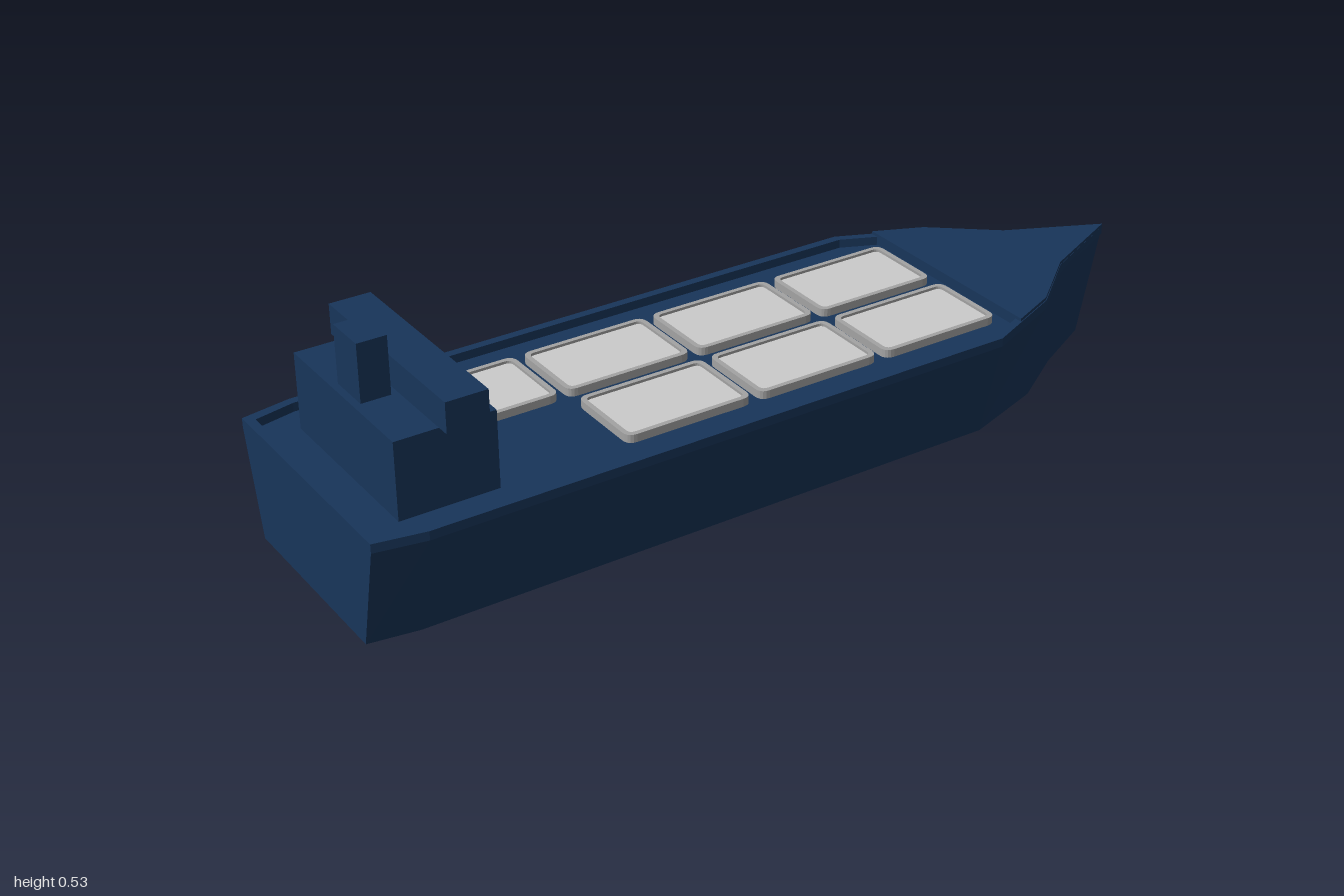
import * as THREE from 'three';

const navy = new THREE.MeshStandardMaterial({ color: 0x18355a, flatShading: true });
const rimGrey = new THREE.MeshStandardMaterial({ color: 0xa4a4a4 });
const coverGrey = new THREE.MeshStandardMaterial({ color: 0xcccccc });

// Half deck outline from stern to stem: [x, half width]
const HALF = [[-1, 0.28], [-0.89, 0.3], [0.46, 0.3], [0.65, 0.217], [0.79, 0.1], [1, 0]];

function ring(y, place) {
  const side = HALF.map(([x, z], i) => {
    const [px, pz] = place(x, z, i);
    return [px, y, pz];
  });
  const mirrored = side.slice(0, -1).reverse().map(([x, py, z]) => [x, py, -z]);
  return side.concat(mirrored);
}

// Hull with tapered sides, raised bulwark and sunken deck
function hullGeometry() {
  const tip = HALF.length - 1;
  const inner = (x, z, i) => [i === 0 ? x + 0.02 : i === tip ? x - 0.06 : x, Math.max(z - 0.02, 0)];
  const rings = [
    ring(0, (x, z, i) => [i === tip ? 0.94 : x, z * 0.8]),
    ring(0.23, (x, z, i) => [i === tip ? 0.995 : x, z]),
    ring(0.25, (x, z) => [x, z]),
    ring(0.25, inner),
    ring(0.23, inner),
  ];
  const n = rings[0].length;
  const pos = [];
  const quad = (a, b, c, d) => pos.push(...a, ...b, ...c, ...a, ...c, ...d);
  for (let r = 0; r < rings.length - 1; r++) {
    for (let i = 0; i < n; i++) {
      const j = (i + 1) % n;
      quad(rings[r][i], rings[r][j], rings[r + 1][j], rings[r + 1][i]);
    }
  }
  // Bottom and deck, spanned between mirrored points
  const keel = rings[0], deck = rings[rings.length - 1];
  for (let i = 0; i < tip; i++) {
    const m = n - 1 - i;
    quad(deck[i], deck[i + 1], deck[m - 1], deck[m]);
    quad(keel[m], keel[m - 1], keel[i + 1], keel[i]);
  }
  const geo = new THREE.BufferGeometry();
  geo.setAttribute('position', new THREE.Float32BufferAttribute(pos, 3));
  geo.computeVertexNormals();
  return geo;
}

function roundedRect(target, w, h, r) {
  const x = w / 2, y = h / 2;
  target.moveTo(-x + r, -y);
  target.lineTo(x - r, -y).quadraticCurveTo(x, -y, x, -y + r);
  target.lineTo(x, y - r).quadraticCurveTo(x, y, x - r, y);
  target.lineTo(-x + r, y).quadraticCurveTo(-x, y, -x, y - r);
  target.lineTo(-x, -y + r).quadraticCurveTo(-x, -y, -x + r, -y);
  return target;
}

// Flat plan shape raised from y0 to y1
function slab(name, shape, y0, y1, material) {
  const geo = new THREE.ExtrudeGeometry(shape, { depth: y1 - y0, bevelEnabled: false, curveSegments: 5 });
  geo.rotateX(-Math.PI / 2).translate(0, y0, 0);
  const mesh = new THREE.Mesh(geo, material);
  mesh.name = name;
  return mesh;
}

function box(name, x0, x1, y0, y1, halfZ) {
  const mesh = new THREE.Mesh(new THREE.BoxGeometry(x1 - x0, y1 - y0, halfZ * 2), navy);
  mesh.position.set((x0 + x1) / 2, (y0 + y1) / 2, 0);
  mesh.name = name;
  return mesh;
}

// Cargo hatch: raised rim around a slightly lower cover
function hatch(x, z) {
  const group = new THREE.Group();
  group.name = 'cargoHatch';
  const rim = roundedRect(new THREE.Shape(), 0.294, 0.192, 0.022);
  rim.holes.push(roundedRect(new THREE.Path(), 0.272, 0.17, 0.014));
  group.add(slab('hatchRim', rim, 0.229, 0.248, rimGrey));
  group.add(slab('hatchCover', roundedRect(new THREE.Shape(), 0.274, 0.172, 0.014), 0.229, 0.242, coverGrey));
  group.position.set(x, 0, z);
  return group;
}

export function createModel() {
  const ship = new THREE.Group();
  ship.name = 'cargoShip';

  const hull = new THREE.Mesh(hullGeometry(), navy);
  hull.name = 'hull';
  ship.add(hull);

  // Raised foredeck
  const bow = [[0.54, 0.263], [0.65, 0.215], [0.79, 0.099], [1, 0], [0.79, -0.099], [0.65, -0.215], [0.54, -0.263]];
  const foredeck = new THREE.Shape(bow.map(([x, z]) => new THREE.Vector2(x, z)));
  ship.add(slab('foredeck', foredeck, 0.232, 0.257, navy));

  // Superstructure at the stern
  ship.add(box('deckhouse', -0.908, -0.692, 0.229, 0.4, 0.21));
  ship.add(box('bridge', -0.813, -0.722, 0.4, 0.467, 0.24));
  ship.add(box('funnel', -0.892, -0.828, 0.4, 0.527, 0.048));

  // Two rows of hatches, the left row one shorter
  const hatches = new THREE.Group();
  hatches.name = 'cargoHatches';
  for (let i = 0; i < 4; i++) {
    const x = 0.37 - i * 0.315;
    hatches.add(hatch(x, -0.114));
    if (i < 3) hatches.add(hatch(x, 0.112));
  }
  ship.add(hatches);
  return ship;
}
